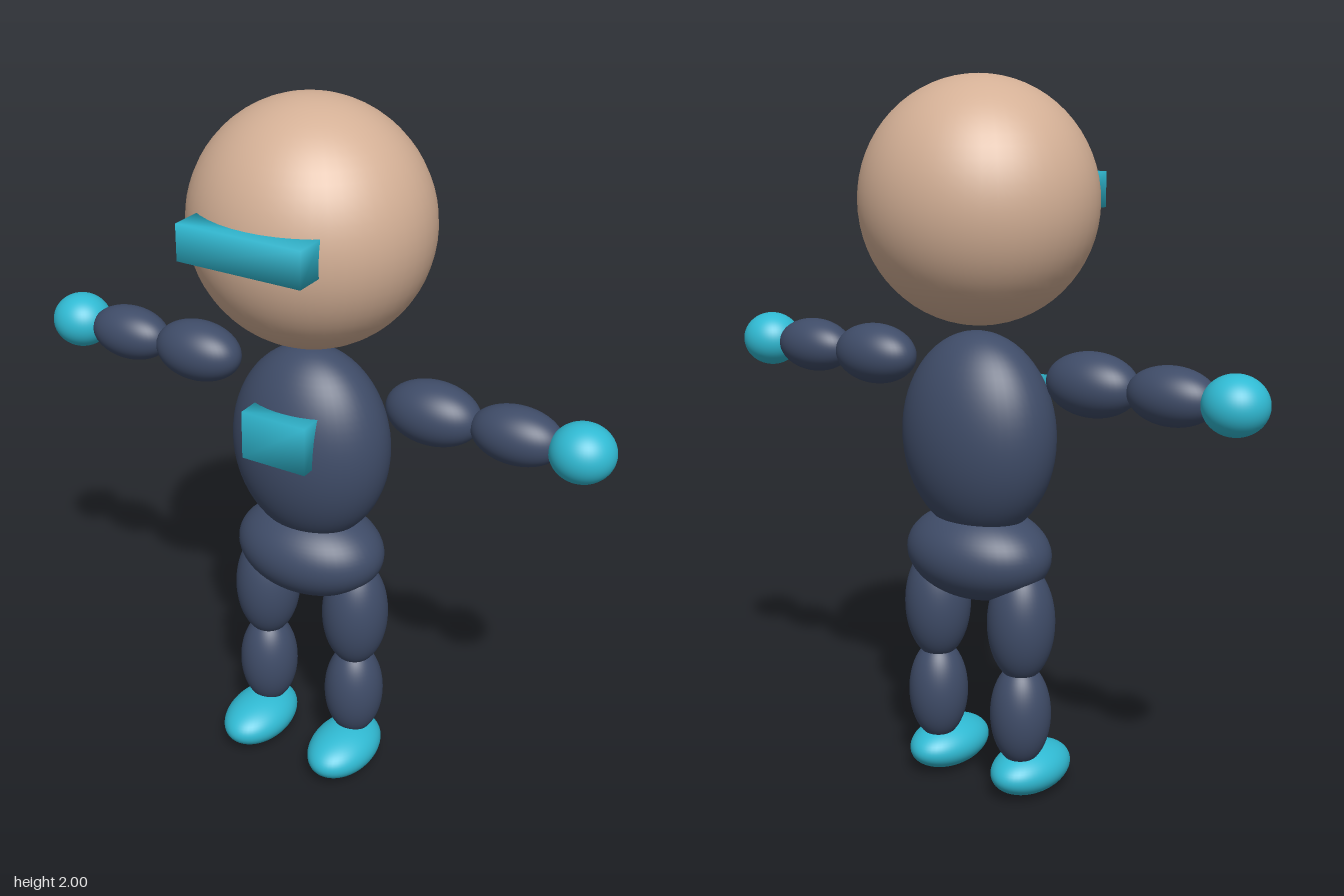
import * as THREE from 'three';
import { mergeVertices } from 'three/addons/utils/BufferGeometryUtils.js';

export function createModel() {
  const group = new THREE.Group();
  const skin = new THREE.MeshStandardMaterial({ color: 0xd4b096 });
  skin.name = 'skin';
  const navy = new THREE.MeshStandardMaterial({ color: 0x3f4c68 });
  navy.name = 'navy suit';
  const cyan = new THREE.MeshStandardMaterial({ color: 0x30bad3 });
  cyan.name = 'cyan accent';

  const ball = new THREE.SphereGeometry(1, 48, 32);

  // Ellipsoid from its centre and its radii
  function ellipsoid(name, material, centre, radii) {
    const mesh = new THREE.Mesh(ball, material);
    mesh.name = name;
    mesh.position.set(...centre);
    mesh.scale.set(...radii);
    group.add(mesh);
  }

  // Box with shared corner normals, for softly shaded faces
  function softBox(name, material, centre, size) {
    let geometry = new THREE.BoxGeometry(...size);
    geometry.deleteAttribute('normal');
    geometry.deleteAttribute('uv');
    geometry = mergeVertices(geometry);
    geometry.computeVertexNormals();
    const mesh = new THREE.Mesh(geometry, material);
    mesh.name = name;
    mesh.position.set(...centre);
    group.add(mesh);
  }

  const z = -0.015;

  // Head and trunk
  ellipsoid('head', skin, [0, 1.67, z], [0.33, 0.33, 0.311]);
  ellipsoid('torso', navy, [0, 1.034, z], [0.233, 0.288, 0.173]);
  ellipsoid('pelvis', navy, [0, 0.7, z], [0.222, 0.133, 0.165]);

  // Visor and chest plate
  softBox('visor', cyan, [0, 1.688, 0.283], [0.358, 0.098, 0.09]);
  softBox('chestPlate', cyan, [0, 1.112, 0.14], [0.196, 0.138, 0.08]);

  // Limbs, mirrored
  for (const [side, s] of [['left', 1], ['right', -1]]) {
    ellipsoid(side + 'UpperArm', navy, [s * 0.371, 1.219, z], [0.134, 0.086, 0.086]);
    ellipsoid(side + 'Forearm', navy, [s * 0.608, 1.219, z], [0.126, 0.077, 0.077]);
    ellipsoid(side + 'Hand', cyan, [s * 0.786, 1.219, z], [0.086, 0.078, 0.083]);
    ellipsoid(side + 'Thigh', navy, [s * 0.148, 0.52, z], [0.095, 0.17, 0.095]);
    ellipsoid(side + 'Shin', navy, [s * 0.148, 0.25, z], [0.086, 0.15, 0.086]);
    ellipsoid(side + 'Foot', cyan, [s * 0.148, 0.07, 0.036], [0.095, 0.068, 0.144]);
  }
  return group;
}
